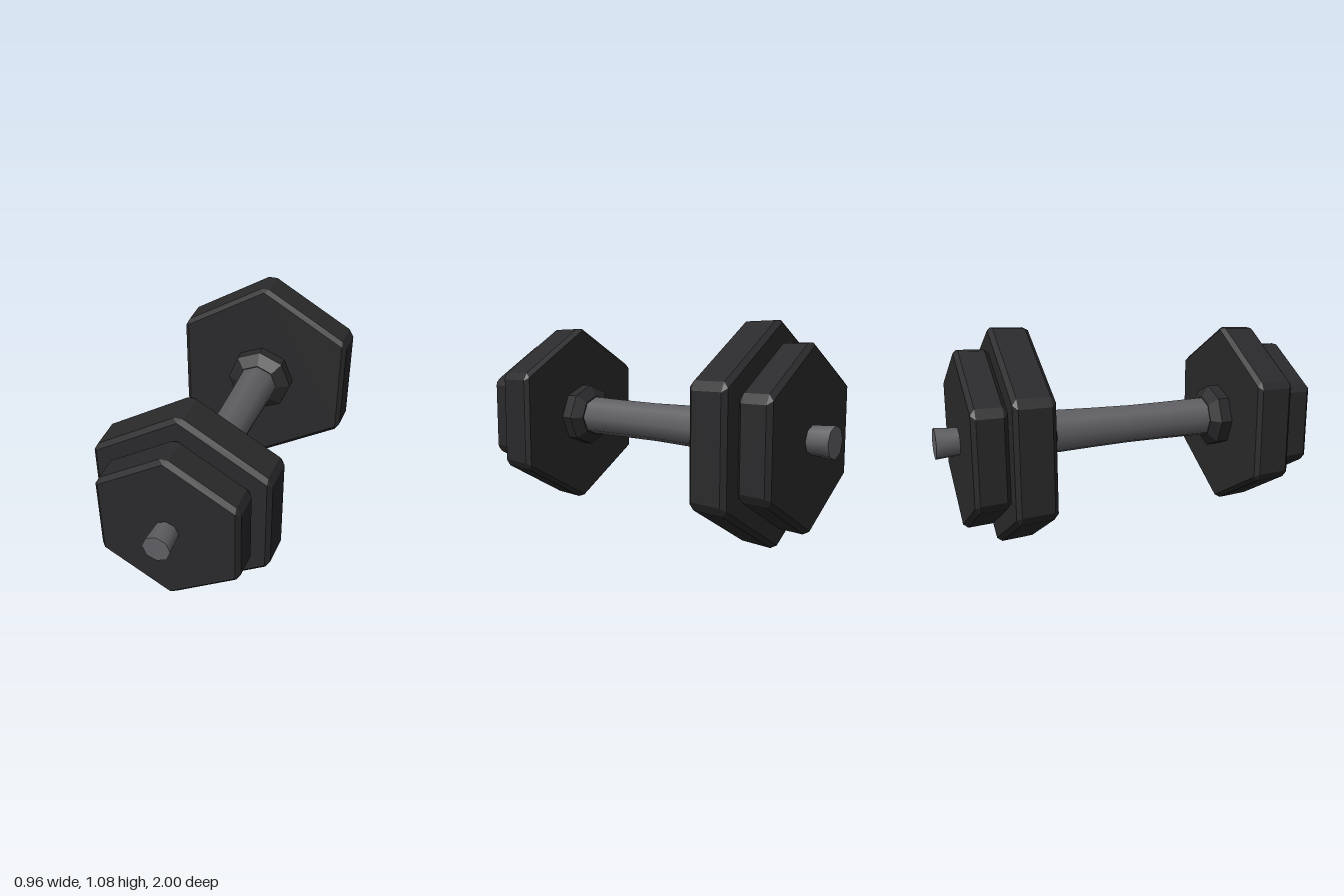
import * as THREE from 'three';
import { toCreasedNormals } from 'three/addons/utils/BufferGeometryUtils.js';
import { ConvexGeometry } from 'three/addons/geometries/ConvexGeometry.js';

const CENTRE_Y = 0.5375;
// everything gets slightly thicker towards the back
const taper = z => 1 - 0.097 * z;

const rubber = new THREE.MeshStandardMaterial({ color: 0x2a2a2c });
const steel = new THREE.MeshStandardMaterial({ color: 0x606064 });

// Hexagonal plate with bevelled rims and clipped corners
function plateGeometry(apothem, z0, z1) {
  const bevel = 0.021, clip = 0.0265, points = [];
  const corner = (a, i) => {
    const angle = Math.PI / 2 + i * Math.PI / 3, r = a / Math.cos(Math.PI / 6);
    return new THREE.Vector2(r * Math.cos(angle), r * Math.sin(angle));
  };
  const add = (p, z) => points.push(new THREE.Vector3(p.x * taper(z), p.y * taper(z), z));
  for (let i = 0; i < 6; i++) {
    const c = corner(apothem, i);
    for (const z of [z0, z1]) add(corner(apothem - bevel, i), z);
    for (const j of [i - 1, i + 1]) {
      const p = c.clone().add(corner(apothem, j).sub(c).setLength(clip));
      for (const z of [z0 + bevel, z1 - bevel]) add(p, z);
    }
  }
  return new ConvexGeometry(points);
}

// Eight-sided turned part along z; profile is [radius, z] with z rising
function turned(profile, crease) {
  const g = new THREE.LatheGeometry(profile.map(p => new THREE.Vector2(...p)), 8);
  g.rotateX(Math.PI / 2);
  const pos = g.attributes.position;
  for (let i = 0; i < pos.count; i++) {
    const s = taper(pos.getZ(i));
    pos.setXY(i, pos.getX(i) * s, pos.getY(i) * s);
  }
  return toCreasedNormals(g, crease);
}

// Builds a profile running to -z or +z, always ordered with z rising
const sided = (profile, side) => side > 0 ? profile : profile.map(([r, z]) => [r, -z]).reverse();

export function createModel() {
  const model = new THREE.Group();
  model.name = 'dumbbell';
  const add = (name, geometry, material) => {
    const mesh = new THREE.Mesh(geometry, material);
    mesh.name = name;
    mesh.position.y = CENTRE_Y;
    model.add(mesh);
  };

  // Waisted grip
  add('handle', turned([[0, -0.53], [0.111, -0.53], [0.108, -0.42], [0.103, -0.2], [0.1, 0],
    [0.103, 0.2], [0.108, 0.42], [0.111, 0.53], [0, 0.53]], 1.0), steel);

  for (const side of [1, -1]) {
    const end = side > 0 ? 'front' : 'back';
    const span = (a, b) => side > 0 ? [a, b] : [-b, -a];
    // Collar chamfered towards the grip
    add(end + 'Collar', turned(sided([[0, 0.425], [0.115, 0.425], [0.174, 0.465],
      [0.174, 0.54], [0, 0.54]], side), 0.3), rubber);
    // Large inner plate and small outer plate
    add(end + 'InnerPlate', plateGeometry(0.448, ...span(0.525, 0.722)), rubber);
    add(end + 'OuterPlate', plateGeometry(0.363, ...span(0.722, 0.888)), rubber);
    // Flared bar end
    add(end + 'BarEnd', turned(sided([[0, 0.86], [0.062, 0.86], [0.064, 0.89],
      [0.072, 1], [0, 1]], side), 1.0), steel);
  }
  return model;
}
